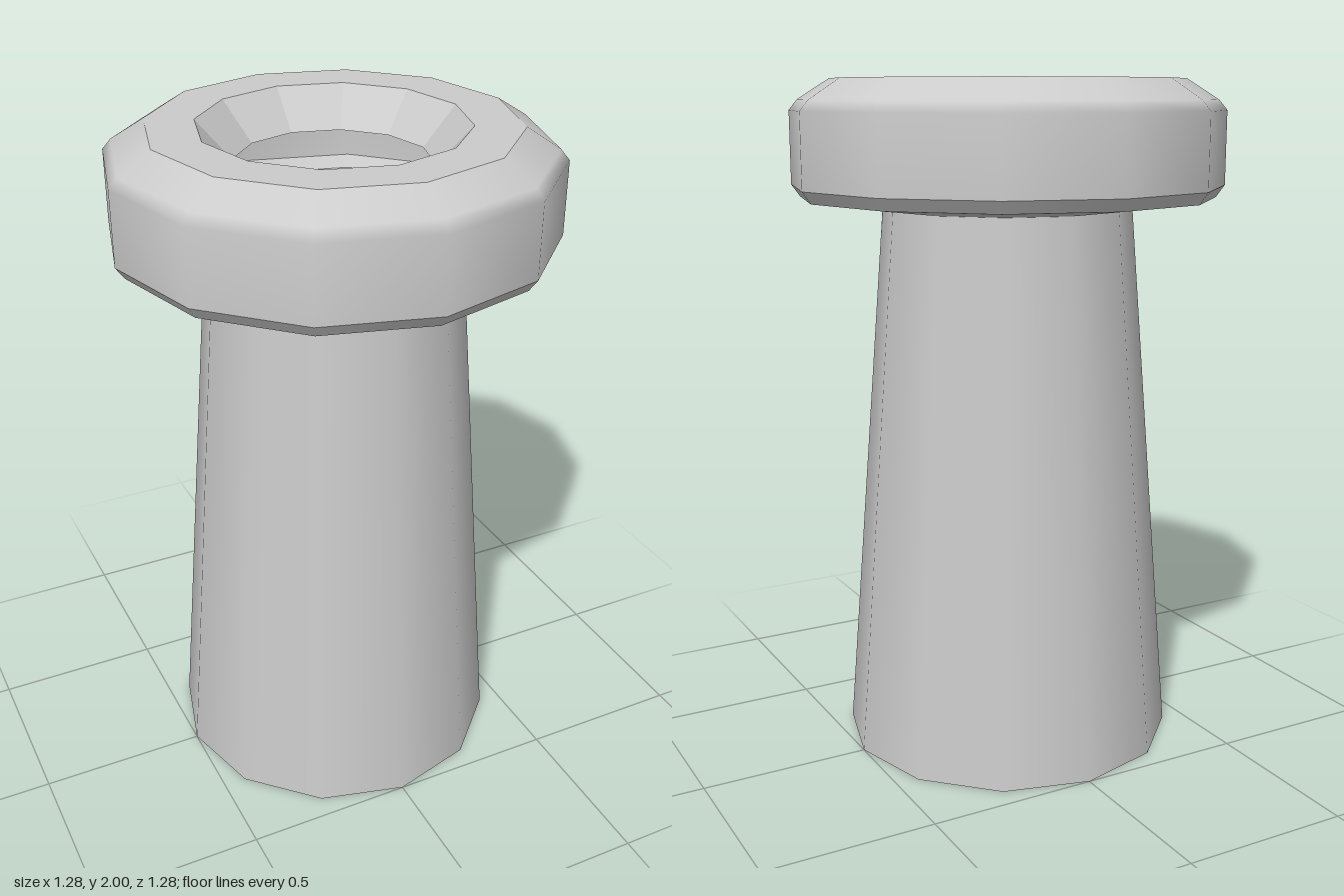
import * as THREE from 'three';

const SIDES = 12;

export function createModel() {
  const group = new THREE.Group();
  const smooth = new THREE.MeshStandardMaterial({ color: 0xcccccc, side: THREE.DoubleSide });
  const flat = new THREE.MeshStandardMaterial({ color: 0xcccccc, side: THREE.DoubleSide, flatShading: true });

  // Each band is a profile of [radius, height], running up the outside and in over the top.
  function band(name, material, profile) {
    const points = profile.map(([r, y]) => new THREE.Vector2(r, y));
    const mesh = new THREE.Mesh(new THREE.LatheGeometry(points, SIDES), material);
    mesh.name = name;
    group.add(mesh);
  }

  // Tapered hollow shaft, open at the bottom
  band('shaft', smooth, [[0.5, 0], [0.37, 1.63]]);

  // Hollow head: underside, lower chamfer, rounded wall, top ring and funnel
  band('headUnderside', flat, [[0.37, 1.63], [0.615, 1.66]]);
  band('headLowerChamfer', smooth, [[0.615, 1.66], [0.64, 1.695]]);
  band('headWall', smooth, [[0.64, 1.695], [0.64, 1.91], [0.615, 1.94], [0.52, 2]]);
  band('headTopRing', flat, [[0.52, 2], [0.38, 2]]);
  band('headFunnel', flat, [[0.38, 2], [0.28, 1.89]]);

  return group;
}
